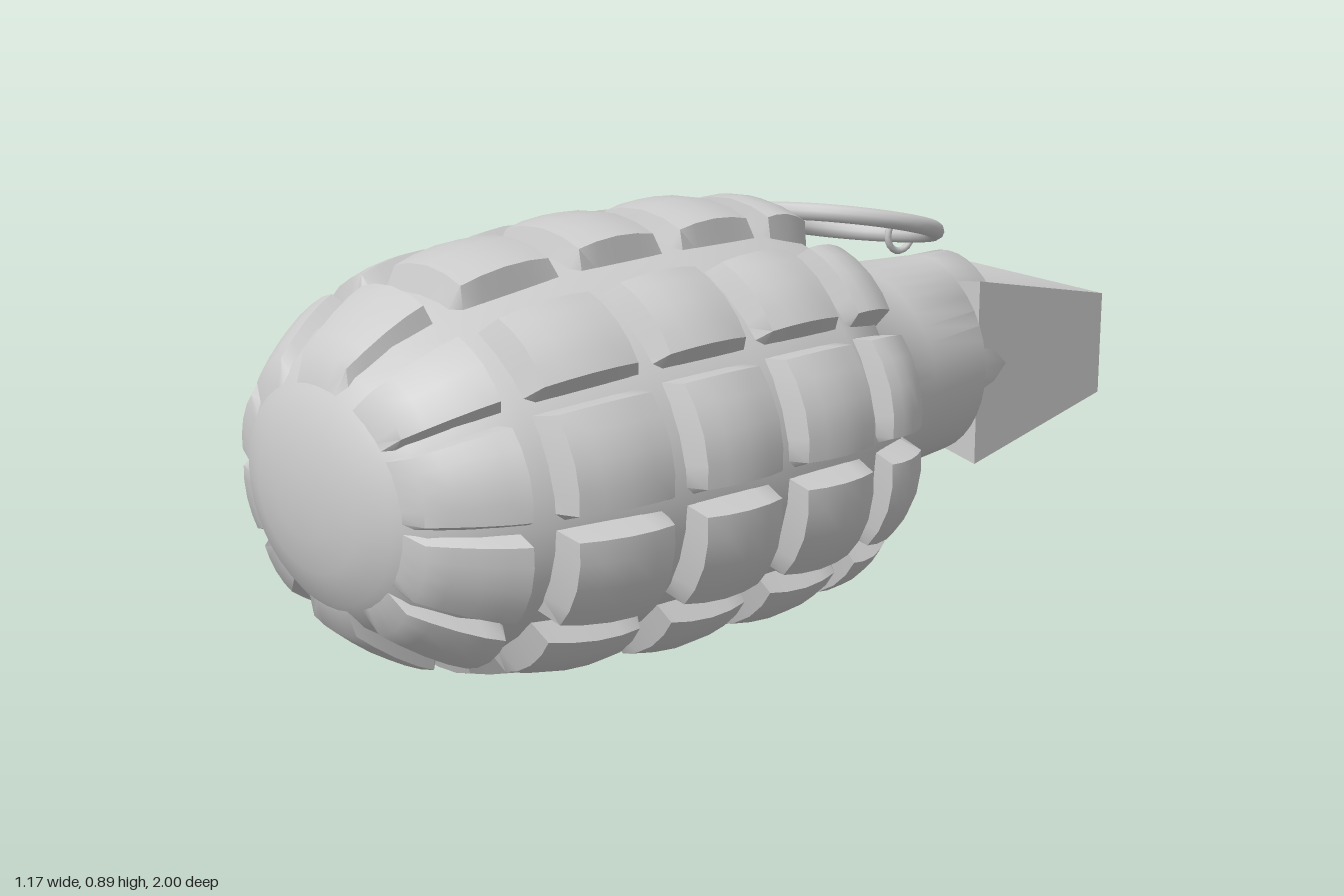
import * as THREE from 'three';
import { toCreasedNormals } from 'three/addons/utils/BufferGeometryUtils.js';

const CX = 0.08, CY = 0.445; // body axis
const RX = 0.51, RY = 0.44;  // full elliptical radii

// Surface from a grid of points: point(row, column)
function gridSurface(rows, cols, point, crease) {
  const positions = [], index = [];
  for (let i = 0; i < rows; i++)
    for (let j = 0; j < cols; j++) positions.push(...point(i, j));
  for (let i = 0; i < rows - 1; i++)
    for (let j = 0; j < cols - 1; j++) {
      const a = i * cols + j, b = a + 1, c = a + cols, d = c + 1;
      index.push(a, b, d, a, d, c);
    }
  const geo = new THREE.BufferGeometry();
  geo.setAttribute('position', new THREE.Float32BufferAttribute(positions, 3));
  geo.setIndex(index);
  return toCreasedNormals(geo, crease);
}

// Core sections: [z, x radius, y radius]
const sections = [
  [-0.7, 0, 0], [-0.7, 0.172, 0.21], [-0.69, 0.18, 0.22], [-0.61, 0.185, 0.22],
  [-0.6, 0.205, 0.22], [-0.4, 0.255, 0.228], [-0.21, 0.31, 0.245], [-0.17, 0.36, 0.29],
  [-0.14, 0.41, 0.35], [-0.02, 0.45, 0.385], [0.23, 0.455, 0.39], [0.47, 0.45, 0.385],
  [0.74, 0.405, 0.345], [0.85, 0.35, 0.3], [0.92, 0.295, 0.25], [0.96, 0.24, 0.2],
  [0.985, 0.165, 0.135], [0.997, 0.08, 0.07], [1, 0, 0],
];

function coreScale(z) {
  let i = 1;
  while (i < sections.length - 1 && sections[i][0] < z) i++;
  const [z0, r0] = sections[i - 1], [z1, r1] = sections[i];
  return THREE.MathUtils.lerp(r0, r1, (z - z0) / (z1 - z0)) / RX;
}

// Raised pad rows: [back z, front z, back scale, front scale]
const padRows = [
  [-0.165, -0.035, 0.92, 0.99],
  [-0.005, 0.205, 1.0, 1.005],
  [0.235, 0.455, 1.01, 1.0],
  [0.485, 0.725, 0.99, 0.92],
  [0.765, 0.95, 0.89, 0.6],
];
// Pad columns on one side: [angle in degrees, half width in radians]
const padColumns = [[90, 0.29], [49.5, 0.24], [17, 0.285], [-17, 0.285], [-49.5, 0.24]];
const stations = [-1, -0.82, -0.45, 0, 0.45, 0.82, 1];

function padGeometry(angle, halfWidth, [z0, z1, k0, k1]) {
  const n = stations.length;
  return gridSurface(n, n, (i, j) => {
    const v = stations[i], u = stations[j];
    const edge = i === 0 || j === 0 || i === n - 1 || j === n - 1;
    const t = angle + u * halfWidth;
    const z = THREE.MathUtils.lerp(z0, z1, (v + 1) / 2);
    const top = THREE.MathUtils.lerp(k0, k1, (v + 1) / 2) * (1.008 - 0.03 * u * u - 0.04 * v * v);
    const k = edge ? coreScale(z) * 0.97 : top;
    return [CX + RX * k * Math.cos(t), CY + RY * k * Math.sin(t), z];
  }, 0.8);
}

const LEVER_Y = 0.437, LEVER_HALF = 0.115;

// Flat bent strap running from the head down the side, outline in [x, z]
function strapGeometry() {
  const outline = [
    [-0.23, -1], [-0.28, -0.6], [-0.48, -0.14], [-0.48, 0.46],
    [-0.555, 0.46], [-0.555, 0.555], [-0.58, 0.555], [-0.58, -0.14],
  ];
  const shape = new THREE.Shape(outline.map(([x, z]) => new THREE.Vector2(x, -z)));
  const geo = new THREE.ExtrudeGeometry(shape, { depth: 2 * LEVER_HALF, bevelEnabled: false });
  geo.rotateX(-Math.PI / 2);
  geo.translate(0, LEVER_Y - LEVER_HALF, 0);
  return geo;
}

// Head block that flares in height towards its inner corner beside the neck
function headGeometry() {
  const geo = new THREE.BoxGeometry(1, 1, 1, 6, 1, 6);
  const p = geo.attributes.position;
  for (let i = 0; i < p.count; i++) {
    const s = p.getX(i) + 0.5, t = p.getZ(i) + 0.5;
    const x = THREE.MathUtils.lerp(-0.23 - 0.05 * t, 0.26, s);
    p.setXYZ(i, x, LEVER_Y + 2 * p.getY(i) * (LEVER_HALF + 0.09 * s * t), -1 + 0.4 * t);
  }
  return toCreasedNormals(geo, 0.5);
}

export function createModel() {
  const model = new THREE.Group();
  const material = new THREE.MeshStandardMaterial({ color: 0xcccccc });
  const add = (name, geometry, parent = model) => {
    const mesh = new THREE.Mesh(geometry, material);
    mesh.name = name;
    parent.add(mesh);
    return mesh;
  };

  // Smooth inner body with neck
  const sides = 40;
  add('bodyAndNeck', gridSurface(sections.length, sides + 1, (i, j) => {
    const [z, rx, ry] = sections[i], t = (j % sides) / sides * Math.PI * 2;
    return [CX + rx * Math.cos(t), CY + ry * Math.sin(t), z];
  }, 0.8));

  // Five rows of ten raised pads; the second half is the first turned by 180 degrees
  const pads = new THREE.Group();
  pads.name = 'raisedPads';
  model.add(pads);
  for (const row of padRows)
    for (const [degrees, halfWidth] of padColumns)
      for (const turn of [0, Math.PI])
        add('pad', padGeometry(THREE.MathUtils.degToRad(degrees) + turn, halfWidth, row), pads);

  // Lever
  const lever = new THREE.Group();
  lever.name = 'lever';
  model.add(lever);
  add('leverStrap', strapGeometry(), lever);
  add('leverHead', headGeometry(), lever);

  // Pull ring, tilted up towards the front and the neck
  const ring = add('pullRing', new THREE.TorusGeometry(0.213, 0.02, 10, 40));
  ring.position.set(-0.215, 0.685, -0.645);
  ring.rotation.set(Math.PI / 2 - 0.27, 0.16, 0);

  // Small link joining the ring to the head
  const link = add('ringLink', new THREE.TorusGeometry(0.04, 0.008, 8, 20));
  link.position.set(-0.235, 0.625, -0.852);
  link.rotation.y = Math.PI / 2;

  return model;
}
